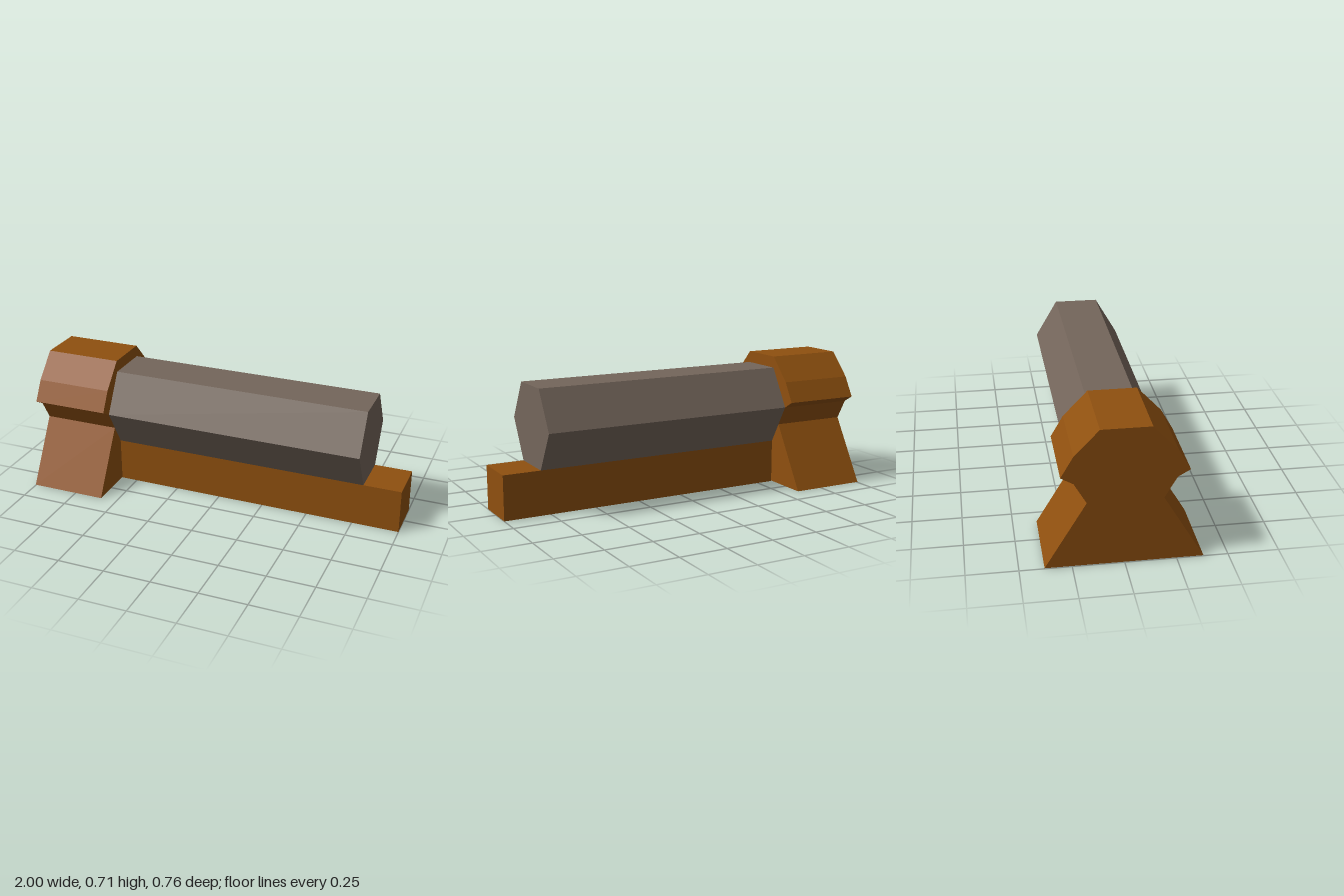
import * as THREE from 'three';

const wood = new THREE.MeshStandardMaterial({ color: 0x8f500f });
wood.name = 'brownWood';
const metal = new THREE.MeshStandardMaterial({ color: 0x74665b });
metal.name = 'greyMetal';

// Prism running along x from x0 to x1; half holds [z, y] points from bottom to top, mirrored in z
function prism(name, half, x0, x1, material) {
  const mirrored = half.map(([z, y]) => [-z, y]).reverse();
  const shape = new THREE.Shape([...half, ...mirrored].map(([z, y]) => new THREE.Vector2(z, y)));
  const geometry = new THREE.ExtrudeGeometry(shape, { depth: x1 - x0, bevelEnabled: false });
  geometry.rotateY(Math.PI / 2);
  geometry.translate(x0, 0, 0);
  const mesh = new THREE.Mesh(geometry, material);
  mesh.name = name;
  return mesh;
}

export function createModel() {
  const model = new THREE.Group();
  model.name = 'barrelOnStand';

  // Splayed foot and faceted hood in one solid end block
  model.add(prism('endBlock', [
    [0.38, 0.003], [0.18, 0.34], [0.24, 0.445], [0.30, 0.48], [0.24, 0.585], [0.12, 0.712],
  ], -1, -0.59, wood));

  // Six-sided barrel
  model.add(prism('barrel', [[0.12, 0.235], [0.24, 0.445], [0.12, 0.65]], -0.59, 0.8, metal));

  // Long rail under the barrel
  model.add(prism('baseRail', [[0.12, 0], [0.12, 0.235]], -0.59, 1, wood));

  return model;
}
